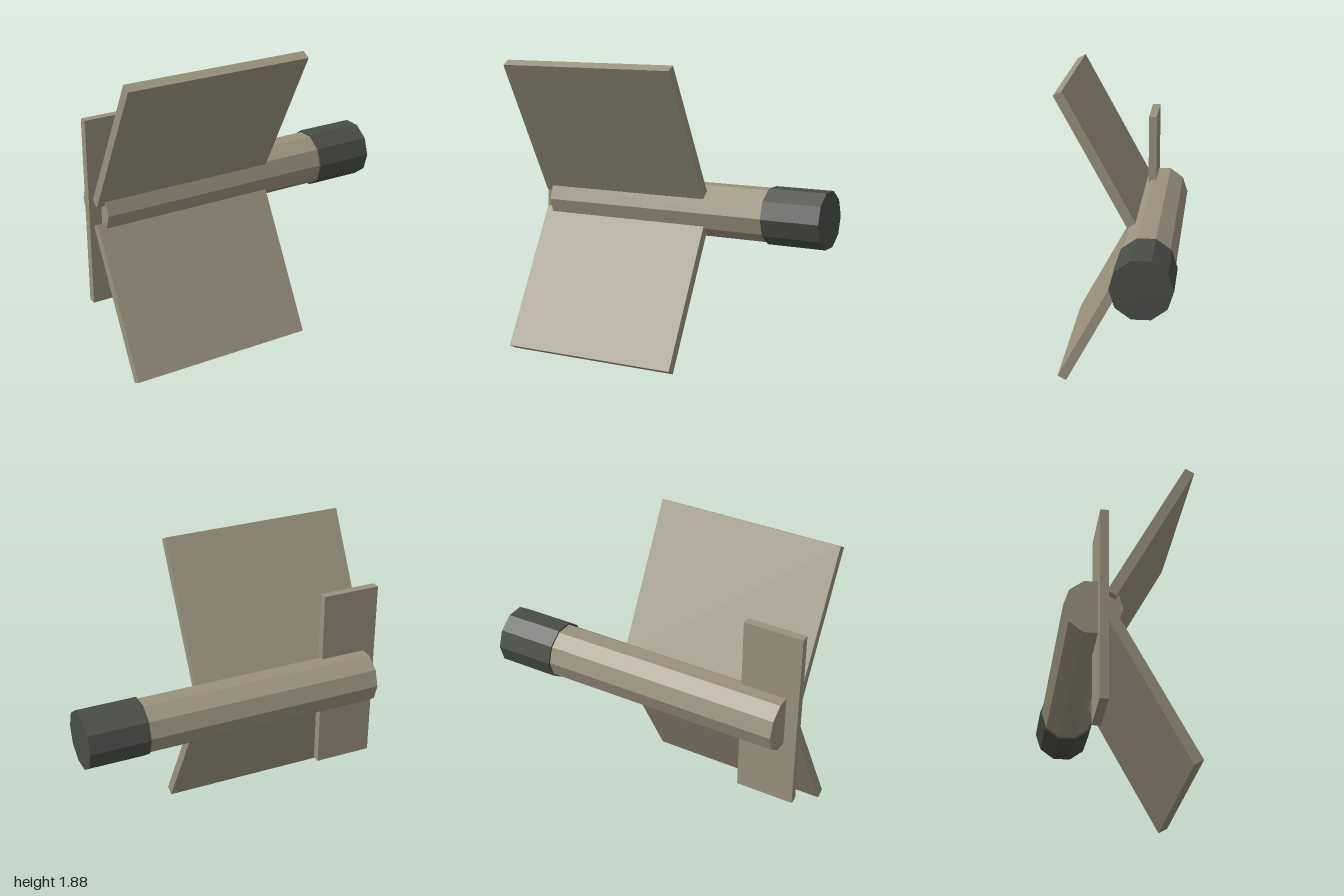
import * as THREE from 'three';

const AXIS_Y = 0.94, AXIS_Z = -0.205;

export function createModel() {
  const model = new THREE.Group();
  const tan = new THREE.MeshStandardMaterial({ color: 0x9a927d });
  tan.name = 'khaki';
  const dark = new THREE.MeshStandardMaterial({ color: 0x4a4c47 });
  dark.name = 'charcoal';

  const add = (name, geometry, material, x, y, z) => {
    const mesh = new THREE.Mesh(geometry, material);
    mesh.name = name;
    mesh.position.set(x, y, z);
    model.add(mesh);
    return mesh;
  };

  // Ten-sided tube lying along x, with flat facets
  const tube = (name, radius, x0, x1, material) => {
    const geometry = new THREE.CylinderGeometry(radius, radius, x1 - x0, 10)
      .rotateZ(-Math.PI / 2).toNonIndexed();
    geometry.computeVertexNormals();
    add(name, geometry, material, (x0 + x1) / 2, AXIS_Y, AXIS_Z);
  };
  tube('body', 0.171, -0.92, 0.63, tan);
  tube('nose', 0.183, 0.62, 1, dark);

  // Pair of wings spreading forward, mirrored above and below the body
  for (const side of [1, -1]) {
    const wing = add(side > 0 ? 'upperWing' : 'lowerWing',
      new THREE.BoxGeometry(1.185, 0.975, 0.061), tan,
      -0.378, AXIS_Y + side * 0.497, 0.127);
    wing.rotation.x = side * 0.5;
  }

  // Upright tail fin crossing the rear of the body
  add('tailFin', new THREE.BoxGeometry(0.375, 1.19, 0.052), tan, -0.8125, AXIS_Y, -0.152);

  return model;
}
